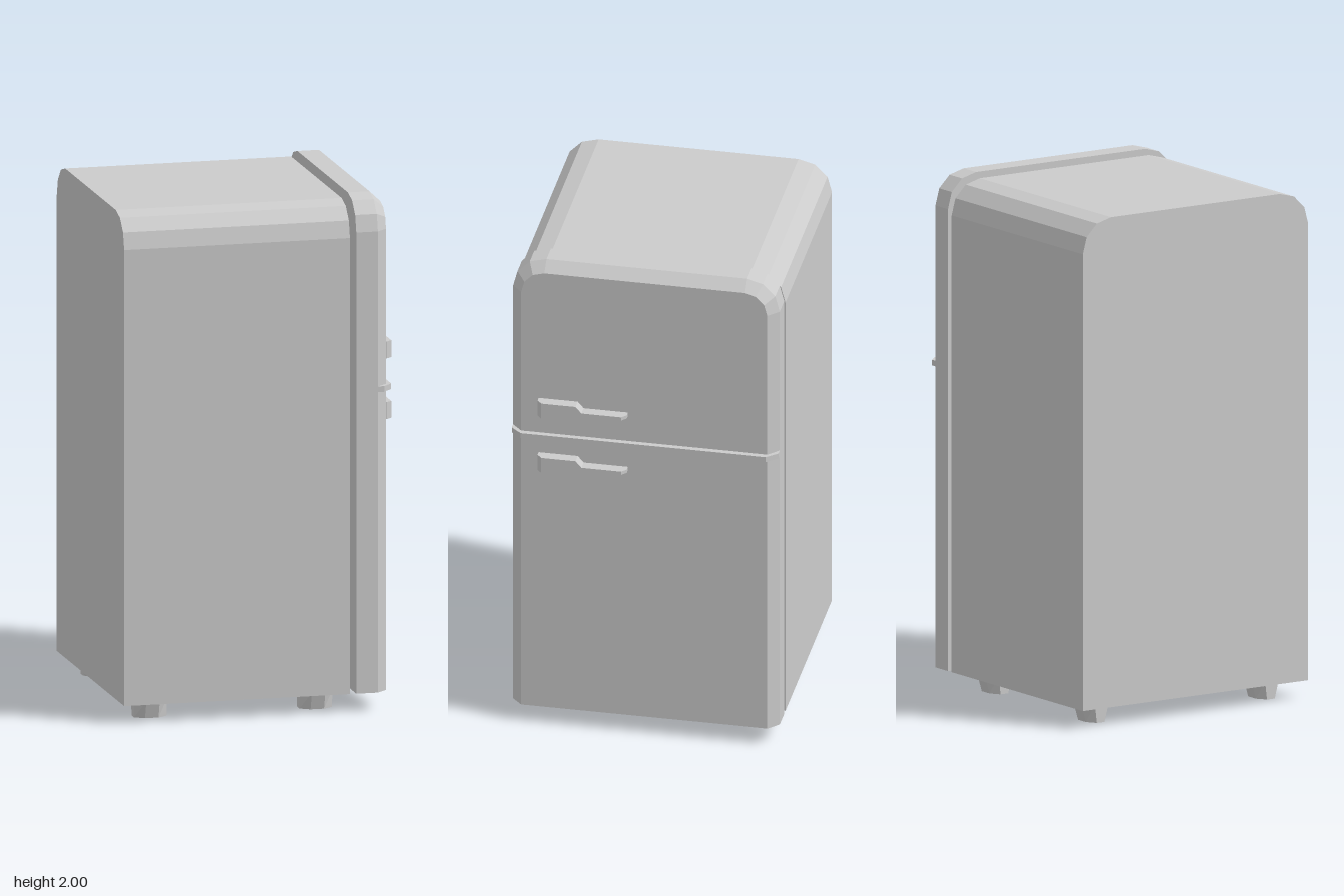
import * as THREE from 'three';

const material = new THREE.MeshStandardMaterial({ color: 0xcccccc, flatShading: true });

// Closed solid through a row of convex loops, each counter-clockwise as seen from the far end
function loft(name, loops) {
  const pos = [];
  const tri = (a, b, c) => pos.push(...a, ...b, ...c);
  const n = loops[0].length;
  for (let i = 0; i < loops.length - 1; i++) {
    for (let j = 0; j < n; j++) {
      const k = (j + 1) % n;
      const [p, q] = [loops[i], loops[i + 1]];
      tri(p[j], p[k], q[k]);
      tri(p[j], q[k], q[j]);
    }
  }
  const first = loops[0], last = loops[loops.length - 1];
  for (let j = 1; j < n - 1; j++) {
    tri(first[0], first[j + 1], first[j]);
    tri(last[0], last[j], last[j + 1]);
  }
  const geometry = new THREE.BufferGeometry();
  geometry.setAttribute('position', new THREE.Float32BufferAttribute(pos, 3));
  geometry.computeVertexNormals();
  const mesh = new THREE.Mesh(geometry, material);
  mesh.name = name;
  return mesh;
}

// Upright outline at a given x: flat bottom, two top corners rounded in three steps
function archLoop(x, halfWidth, top, radius, bottom = 0.07) {
  const loop = [[x, bottom, -halfWidth]];
  for (const side of [-1, 1]) {
    for (let i = 0; i <= 3; i++) {
      const a = (side < 0 ? i : 3 - i) * Math.PI / 6;
      loop.push([x, top - radius + radius * Math.sin(a), side * (halfWidth - radius + radius * Math.cos(a))]);
    }
  }
  loop.push([x, bottom, halfWidth]);
  return loop;
}

// Handle: wide paddle narrowing to a thin bar, with sloped ends
function handle(name, y) {
  const sections = [ // z, half height, outer x
    [0.412, 0.033, 0.518], [0.393, 0.033, 0.54], [0.26, 0.033, 0.54],
    [0.237, 0.007, 0.54], [0.083, 0.007, 0.54], [0.065, 0.007, 0.52],
  ];
  return loft(name, sections.map(([z, h, x]) =>
    [[0.49, y - h, z], [0.49, y + h, z], [x, y + h, z], [x, y - h, z]]));
}

// Eight-sided foot, narrowing in depth towards the floor
function foot(x, z) {
  const r = 0.064 / Math.cos(Math.PI / 8);
  const ring = (y, depth) => Array.from({ length: 8 }, (_, i) => {
    const a = (i + 0.5) * Math.PI / 4;
    return [x + r * Math.cos(a), y, z - depth * r * Math.sin(a)];
  });
  return loft('foot', [ring(0, 0.67), ring(0.07, 1)]);
}

export function createModel() {
  const group = new THREE.Group();
  group.name = 'refrigerator';

  // Cabinet
  group.add(loft('cabinet', [archLoop(-0.545, 0.52, 1.98, 0.13), archLoop(0.345, 0.52, 1.98, 0.13)]));

  // Door slab, bevelled on the sides and top only
  group.add(loft('door', [
    archLoop(0.37, 0.52, 2, 0.13),
    archLoop(0.455, 0.52, 2, 0.13),
    archLoop(0.497, 0.48, 1.96, 0.09),
  ]));

  // Trim strip between the upper and lower door
  const strip = y => [[0.455, 0.52], [0.48, 0.52], [0.518, 0.478], [0.518, -0.478], [0.48, -0.52], [0.455, -0.52]]
    .map(([x, z]) => [x, y, z]);
  group.add(loft('doorTrim', [strip(1.243), strip(1.265)]));

  group.add(handle('upperHandle', 1.382), handle('lowerHandle', 1.145));

  for (const x of [-0.415, 0.238]) for (const z of [-0.393, 0.393]) group.add(foot(x, z));
  return group;
}
